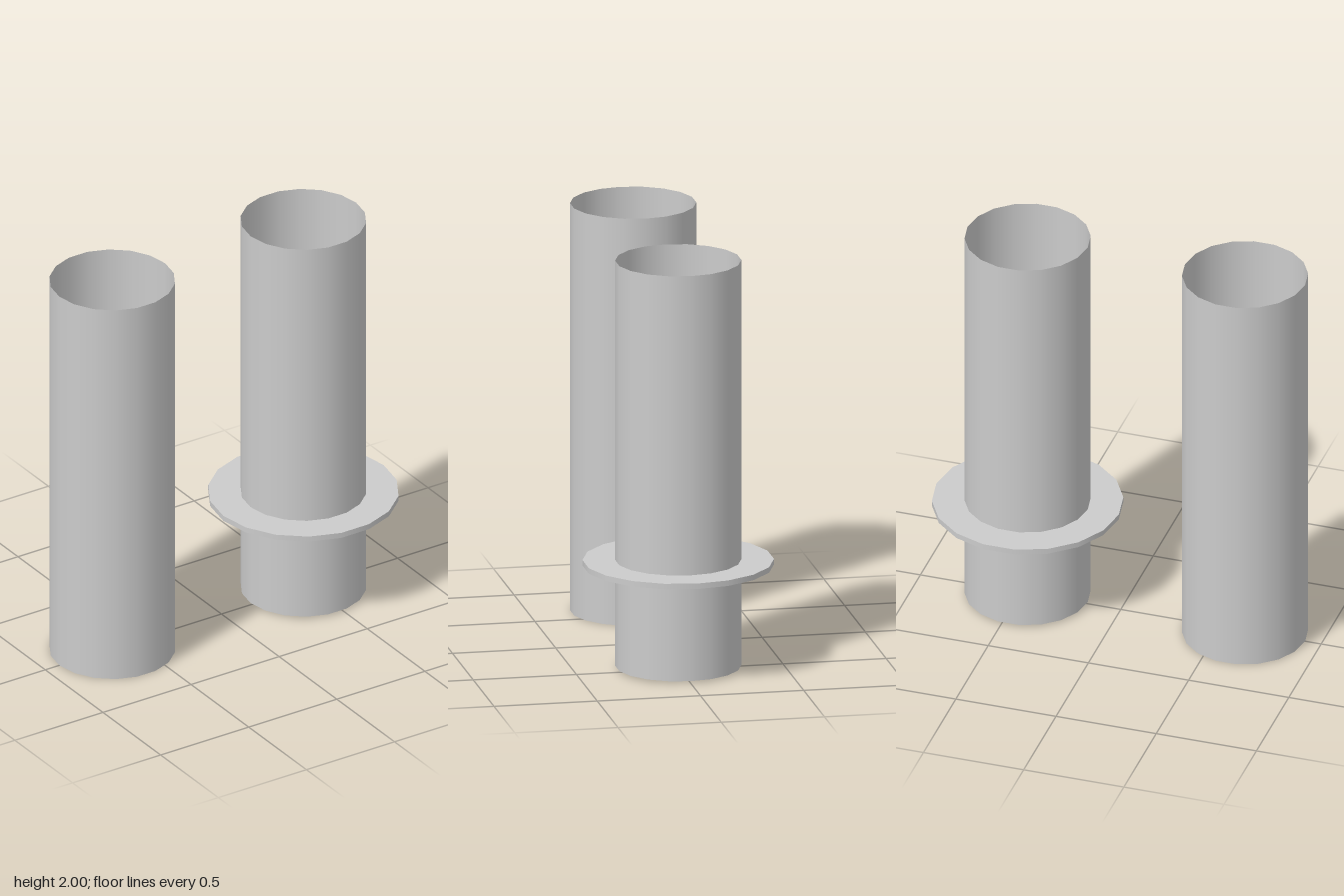
import * as THREE from 'three';

const SIDES = 18;
const RADIUS = 0.3;
const FLANGE_RADIUS = 0.455;

export function createModel() {
  const model = new THREE.Group();
  const material = new THREE.MeshStandardMaterial({ color: 0xcccccc, side: THREE.DoubleSide });

  // Open thin-walled cylinder with a corner on the x axis
  const wall = (name, radius, x, bottom, top) => {
    const geometry = new THREE.CylinderGeometry(radius, radius, top - bottom, SIDES, 1, true, Math.PI / 2);
    const mesh = new THREE.Mesh(geometry, material);
    mesh.name = name;
    mesh.position.set(x, (bottom + top) / 2, 0);
    return mesh;
  };

  // Plain tube
  model.add(wall('plainTube', RADIUS, -0.62, 0, 2));

  // Tube with a flange
  const flangedTube = new THREE.Group();
  flangedTube.name = 'flangedTube';
  flangedTube.position.x = 0.465;
  flangedTube.add(wall('tubeWall', RADIUS, 0, 0.01, 2));

  // Flange: rim plus upper and lower annular faces
  const flange = new THREE.Group();
  flange.name = 'flange';
  const [low, high] = [0.503, 0.53];
  flange.add(wall('flangeRim', FLANGE_RADIUS, 0, low, high));
  for (const [name, y, turn] of [['flangeTop', high, -1], ['flangeBottom', low, 1]]) {
    const face = new THREE.Mesh(new THREE.RingGeometry(RADIUS, FLANGE_RADIUS, SIDES), material);
    face.name = name;
    face.rotation.x = turn * Math.PI / 2;
    face.position.y = y;
    flange.add(face);
  }
  flangedTube.add(flange);
  model.add(flangedTube);

  return model;
}
